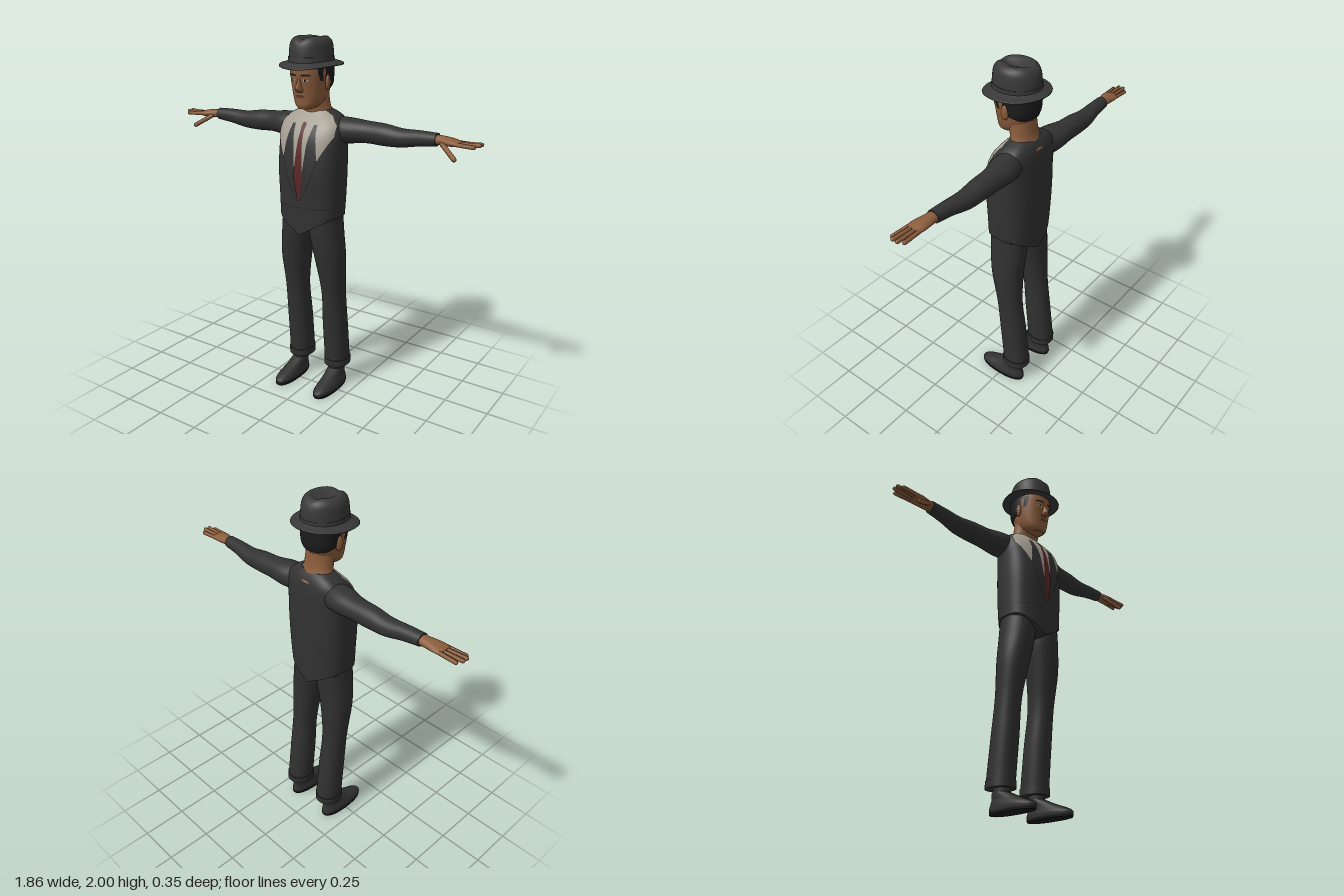
import * as THREE from 'three';

const mat = (name, color) => Object.assign(new THREE.MeshStandardMaterial({ color }), { name });
const M = {
  jacket: mat('charcoal jacket', 0x323232), trousers: mat('charcoal trousers', 0x303030),
  hat: mat('felt hat', 0x383838), shoe: mat('shoe leather', 0x313131), sole: mat('dark sole', 0x1b1b1b),
  hair: mat('black hair', 0x1d1c1c), skin: mat('skin', 0x8a5c3b), shirt: mat('shirt', 0xa39d90),
  tie: mat('red tie', 0x5a2727), lip: mat('lips', 0x5f3826),
};

// Section: [y, centre x, centre z, half width, half depth]; smoothed between neighbours
function refine(s, k = 4) {
  const out = [], at = i => s[Math.max(0, Math.min(s.length - 1, i))];
  for (let i = 0; i < s.length - 1; i++) for (let j = 0; j < k; j++) {
    const t = j / k;
    out.push(s[i].map((b, q) => {
      const a = at(i - 1)[q], c = at(i + 1)[q], d = at(i + 2)[q];
      return b + 0.5 * t * (c - a + t * (2 * a - 5 * b + 4 * c - d + t * (3 * (b - c) + d - a)));
    }));
  }
  out.push(s[s.length - 1]);
  return out;
}

// Skin over superellipse rings, capped at both ends
function loft(sections, { e = 2, n = 32, k = 4, rule = null, caps = true } = {}) {
  const S = refine(sections, k), pos = [], idx = [], v = new THREE.Vector3();
  const pw = c => Math.sign(c) * Math.abs(c) ** (2 / e);
  const add = (x, y, z) => { v.set(x, y, z); if (rule) rule(v); pos.push(v.x, v.y, v.z); };
  const ring = s => {
    for (let j = 0; j < n; j++) {
      const t = j / n * Math.PI * 2;
      add(s[1] + s[3] * pw(Math.cos(t)), s[0], s[2] + s[4] * pw(Math.sin(t)));
    }
  };
  S.forEach(ring);
  for (let i = 0; i < S.length - 1; i++) for (let j = 0; j < n; j++) {
    const a = i * n + j, b = i * n + (j + 1) % n;
    idx.push(a, a + n, b, b, a + n, b + n);
  }
  if (caps) [S[0], S[S.length - 1]].forEach((s, top) => {
    const o = pos.length / 3;
    ring(s); add(s[1], s[0], s[2]);
    for (let j = 0; j < n; j++) {
      const a = o + j, b = o + (j + 1) % n;
      idx.push(o + n, top ? b : a, top ? a : b);
    }
  });
  return build(pos, idx);
}

function build(pos, idx) {
  const g = new THREE.BufferGeometry();
  g.setAttribute('position', new THREE.Float32BufferAttribute(pos, 3));
  g.setIndex(idx);
  g.computeVertexNormals();
  return g;
}

// Front depth of a lofted body at (x, y), lifted slightly
function frontOf(sections, e) {
  const S = refine(sections, 4);
  return (x, y, lift) => {
    let i = 0;
    while (i < S.length - 2 && S[i + 1][0] < y) i++;
    const t = THREE.MathUtils.clamp((y - S[i][0]) / (S[i + 1][0] - S[i][0]), 0, 1);
    const [, , cz, rx, rz] = S[i].map((a, q) => a + (S[i + 1][q] - a) * t);
    const u = Math.min(1, Math.abs(x) / (rx + lift));
    return cz + (rz + lift) * (1 - u ** e) ** (1 / e);
  };
}

// Thin painted panel hugging a front surface; rows from top down: [y, x from, x to]
function panel(front, rows, lift = 0.004, cols = 10, k = 6) {
  const pos = [], idx = [], w = cols + 1, R = [];
  rows.forEach((r, i) => {
    if (!i) return R.push(r);
    for (let j = 1; j <= k; j++) R.push(r.map((b, q) => rows[i - 1][q] + (b - rows[i - 1][q]) * j / k));
  });
  R.forEach(([y, a, b], i) => {
    for (let j = 0; j < w; j++) {
      const x = a + (b - a) * j / cols, o = i * w + j;
      pos.push(x, y, front(x, y, lift));
      if (i < R.length - 1 && j < cols) idx.push(o, o + w, o + 1, o + 1, o + w, o + w + 1);
    }
  });
  return build(pos, idx);
}

function capsule(a, b, r) {
  const p = new THREE.Vector3(...a), q = new THREE.Vector3(...b), d = q.clone().sub(p);
  const g = new THREE.CapsuleGeometry(r, d.length(), 4, 10);
  g.applyQuaternion(new THREE.Quaternion().setFromUnitVectors(new THREE.Vector3(0, 1, 0), d.normalize()));
  return g.translate(...p.add(q).multiplyScalar(0.5).toArray());
}

function mirrored(g) {
  const m = g.clone().scale(-1, 1, 1), ix = m.index.array;
  for (let i = 0; i < ix.length; i += 3) [ix[i], ix[i + 1]] = [ix[i + 1], ix[i]];
  m.computeVertexNormals();
  return m;
}

export function createModel() {
  const root = new THREE.Group();
  const add = (name, g, m) => { const o = new THREE.Mesh(g, m); o.name = name; root.add(o); };
  const pair = (name, g, m) => { add(name + 'Left', g, m); add(name + 'Right', mirrored(g), m); };
  const sideways = v => v.set(v.y, -v.x, v.z);

  // Jacket with a hem pointed at front and back
  const torso = [[1.055, 0, -.012, .178, .13], [1.15, 0, -.015, .182, .135], [1.3, 0, -.015, .187, .14],
    [1.42, 0, -.02, .187, .133], [1.5, 0, -.03, .188, .122], [1.56, 0, -.045, .18, .1],
    [1.6, 0, -.055, .14, .075], [1.625, 0, -.055, .09, .055]];
  add('jacket', loft(torso, { e: 2.7, n: 64, rule: v => {
    const w = THREE.MathUtils.clamp((1.16 - v.y) / 0.1, 0, 1);
    v.y -= w * 0.1 * (1 - Math.min(1, Math.abs(v.x) / 0.17));
  } }), M.jacket);
  pair('sleeve', loft([[.1, -1.52, -.06, .072, .065], [.2, -1.522, -.067, .068, .078], [.3, -1.522, -.078, .058, .062],
    [.4, -1.518, -.078, .057, .057], [.5, -1.513, -.078, .048, .05], [.6, -1.523, -.072, .04, .04],
    [.695, -1.528, -.068, .033, .036]], { rule: sideways }), M.jacket);

  // Shirt, tie and lapel edges
  const chest = frontOf(torso, 2.7);
  add('shirtYoke', panel(chest, [[1.622, -.085, .085], [1.6, -.13, .13], [1.555, -.17, .17]], .004, 20), M.shirt);
  add('shirtFront', panel(chest, [[1.555, -.058, .058], [1.45, -.04, .04], [1.35, -.03, .03], [1.2, -.008, .008]]), M.shirt);
  pair('shirtSide', panel(chest, [[1.555, .076, .17], [1.5, .085, .172], [1.44, .096, .14], [1.38, .104, .108]]), M.shirt);
  add('tie', panel(chest, [[1.565, -.008, .008], [1.55, -.014, .014], [1.52, -.01, .01], [1.27, -.028, .028],
    [1.15, -.004, .004]], .007), M.tie);
  pair('lapelEdge', panel(chest, [[1.4, .108, .112], [1.3, .08, .084], [1.2, .036, .04], [1.15, 0, .004]], .003, 2), M.hair);
  add('waistSeam', panel(chest, [[1.113, -.17, .17], [1.11, -.17, .17]], .003, 20, 1), M.hair);

  // Trousers and cuffs
  add('trouserSeat', loft([[.965, 0, -.015, .1, .07], [1, 0, -.015, .168, .1], [1.1, 0, -.015, .17, .115]], { e: 2.6 }), M.trousers);
  pair('trouserLeg', loft([[.135, .124, -.09, .068, .078], [.2, .123, -.086, .068, .078], [.4, .122, -.065, .068, .075],
    [.6, .123, -.043, .065, .073], [.8, .113, -.022, .083, .09], [.95, .092, -.015, .09, .103],
    [1.04, .088, -.015, .085, .105]], { e: 2.2 }), M.trousers);
  pair('trouserCuff', loft([[.13, .124, -.09, .072, .082], [.17, .124, -.089, .072, .082]], { e: 2.2, k: 1 }), M.trousers);

  // Shoes
  pair('ankle', loft([[.07, .125, -.077, .04, .046], [.16, .125, -.077, .042, .048]], { k: 1 }), M.shoe);
  pair('shoe', loft([[.012, .133, .005, .051, .149], [.03, .133, .005, .053, .15], [.048, .133, -.008, .049, .132],
    [.07, .13, -.035, .043, .1], [.09, .128, -.06, .042, .075], [.108, .126, -.078, .042, .053]], { e: 2.3 }), M.shoe);
  pair('sole', loft([[0, .133, .005, .052, .148], [.013, .133, .005, .055, .151]], { e: 2.3, k: 1 }), M.sole);

  // Hands
  pair('palm', loft([[.67, -1.528, -.068, .024, .03], [.72, -1.528, -.066, .024, .034], [.78, -1.525, -.06, .02, .044],
    [.82, -1.522, -.057, .012, .042]], { n: 20, rule: sideways }), M.skin);
  [[-.09, .9, 1.52, -.093], [-.068, .92, 1.528, -.071], [-.046, .92, 1.528, -.044], [-.026, .9, 1.52, -.02]]
    .forEach(([z, x, y, tz], i) => pair('finger' + (i + 1), capsule([.8, 1.523, z], [x, y, tz], .0105), M.skin));
  pair('thumb', capsule([.735, 1.515, -.035], [.82, 1.46, .015], .0125), M.skin);

  // Neck and head
  add('neck', loft([[1.575, 0, -.06, .105, .084], [1.61, 0, -.053, .094, .068], [1.65, 0, -.043, .083, .064],
    [1.72, 0, -.03, .078, .07]]), M.skin);
  const skull = [[1.635, 0, .055, .036, .032], [1.655, 0, .03, .062, .066], [1.69, 0, .01, .08, .09],
    [1.74, 0, 0, .091, .107], [1.79, 0, 0, .097, .115], [1.84, 0, 0, .1, .118], [1.89, 0, 0, .095, .11]];
  add('head', loft(skull, { e: 2.3, n: 40 }), M.skin);
  add('hair', loft([[1.735, 0, -.035, .08, .075], [1.76, 0, -.025, .098, .092], [1.8, 0, -.022, .102, .1],
    [1.88, 0, -.016, .105, .106]], { e: 2.4 }), M.hair);
  add('nose', loft([[1.725, 0, .105, .014, .015], [1.737, 0, .11, .02, .026], [1.748, 0, .112, .016, .032],
    [1.775, 0, .108, .01, .021], [1.805, 0, .105, .008, .01]], { n: 16 }), M.skin);
  pair('ear', new THREE.SphereGeometry(1, 16, 10).scale(.012, .04, .021).rotateY(.3).translate(.1, 1.772, -.002), M.skin);

  // Painted face details
  const face = frontOf(skull, 2.3);
  pair('eyebrow', panel(face, [[1.817, .018, .06], [1.807, .012, .066]], .005, 6, 2), M.hair);
  pair('eye', panel(face, [[1.793, .03, .042], [1.786, .02, .054], [1.779, .03, .042]], .003, 6, 2), M.shirt);
  pair('pupil', panel(face, [[1.793, .033, .042], [1.779, .033, .042]], .005, 3, 2), M.hair);
  pair('sideburn', panel(face, [[1.85, .086, .1], [1.78, .092, .097]], .003, 4, 4), M.hair);
  add('mouth', panel(face, [[1.711, -.012, .012], [1.704, -.03, .03], [1.694, -.014, .014]], .004, 8, 3), M.lip);

  // Hat: pinched crown, band and dipped brim
  add('hatCrown', loft([[1.865, 0, 0, .113, .129], [1.93, 0, 0, .11, .126], [1.97, 0, 0, .104, .117], [1.992, 0, 0, .088, .1],
    [2, 0, 0, .066, .078], [1.987, 0, 0, .035, .05], [1.977, 0, 0, .002, .003]], { n: 48, rule: v => {
    v.y -= Math.max(0, (v.y - 1.95) / .05) * .014 * Math.exp(-((v.x / .025) ** 2)) * (v.z > 0 ? 1 : .5);
  } }), M.hat);
  add('hatBand', loft([[1.872, 0, 0, .116, .132], [1.9, 0, 0, .1145, .13]], { n: 48, k: 1 }), M.hat);
  add('hatBrim', loft([[1.866, 0, 0, .09, .1], [1.862, 0, 0, .13, .145], [1.858, 0, 0, .164, .17], [1.862, 0, 0, .166, .172],
    [1.866, 0, 0, .16, .167], [1.874, 0, 0, .13, .145], [1.884, 0, 0, .108, .125]], { n: 48, k: 2, rule: v => {
    const f = v.z / .17;
    v.y += f > 0 ? -.018 * f * f : .006 * f * f;
  } }), M.hat);
  return root;
}
